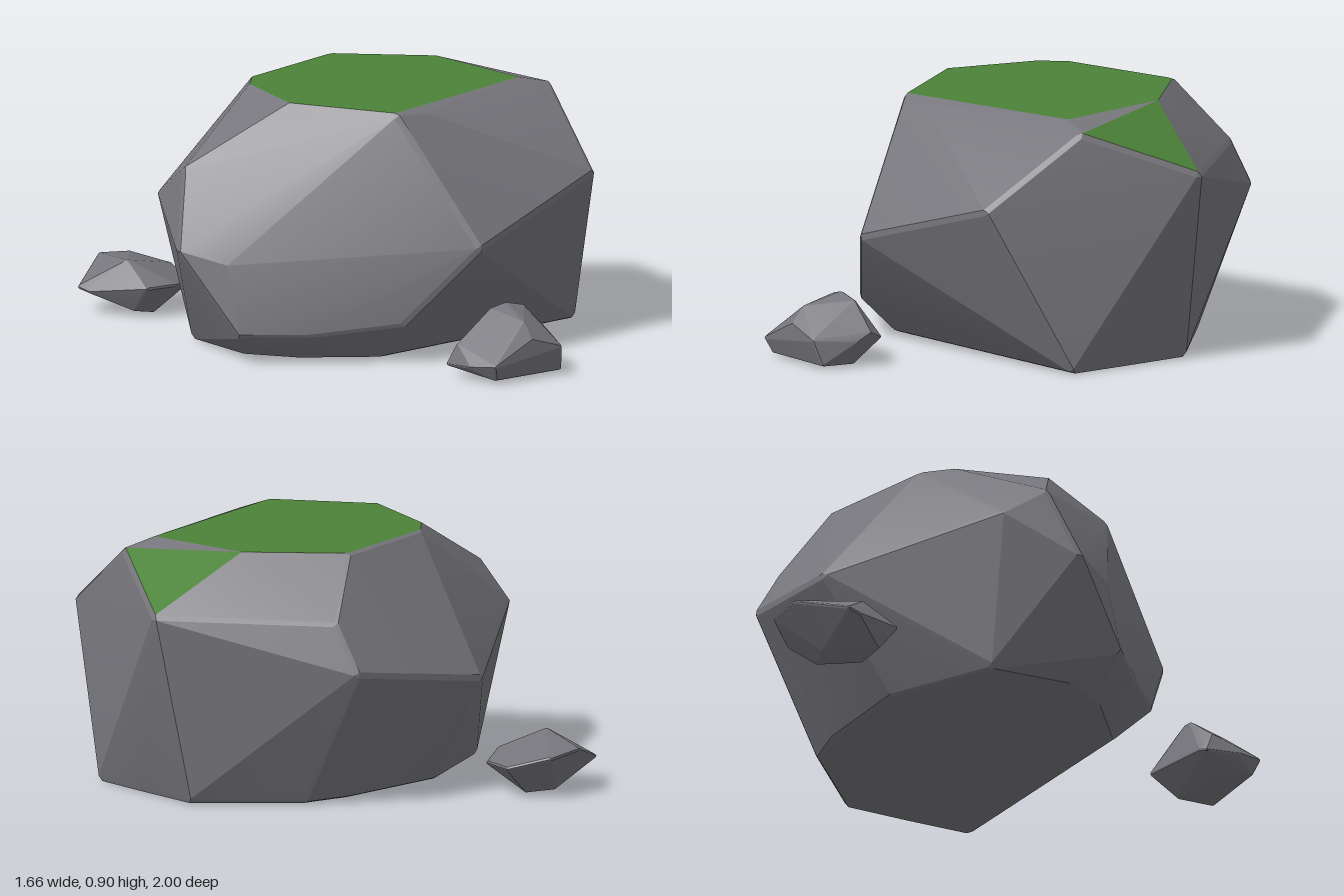
import * as THREE from 'three';
import { ConvexGeometry } from 'three/addons/geometries/ConvexGeometry.js';
import { toCreasedNormals } from 'three/addons/utils/BufferGeometryUtils.js';

const stone = new THREE.MeshStandardMaterial({ color: 0x77767c });
stone.name = 'stone grey';
const moss = new THREE.MeshStandardMaterial({ color: 0x4b8238 });
moss.name = 'moss green';

// Corners of each rock (x, y, z)
const boulderCorners = [
  // flat top rim
  [-0.41, 0.9, 0.06], [-0.18, 0.89, 0.40], [-0.05, 0.88, 0.40], [0.53, 0.89, 0.19],
  [0.48, 0.9, -0.25], [0.20, 0.9, -0.51], [-0.25, 0.9, -0.38], [-0.33, 0.9, -0.29],
  // right shoulder
  [0.65, 0.86, 0.21], [0.83, 0.7, -0.18], [0.57, 0.61, 0.57],
  // front and left
  [-0.03, 0.43, 0.70], [-0.26, 0.15, 0.54], [-0.53, 0.11, 0.34], [-0.74, 0.36, 0.12],
  [-0.73, 0.11, 0.18], [-0.84, 0.4, -0.03], [-0.75, 0.67, -0.12], [-0.74, 0.56, -0.28],
  // back
  [-0.22, 0.43, -0.75], [0.35, 0.52, -0.74], [0.37, 0.69, -0.64],
  // base
  [0.70, 0.015, 0.28], [0.70, 0.015, 0.05], [0.69, 0.015, -0.21], [0.38, 0.015, -0.48],
  [0.20, 0.015, -0.51], [-0.23, 0.015, -0.48], [-0.60, 0.015, -0.26], [-0.61, 0.015, 0.05],
  [-0.49, 0.015, 0.23], [-0.25, 0.015, 0.40],
];
const frontCorners = [
  [-0.24, 0.05, 0.77], [-0.22, 0.12, 0.80], [-0.24, 0.06, 0.90], [-0.20, 0.07, 1.0],
  [-0.18, 0.02, 0.98], [-0.03, 0.15, 1.0], [-0.03, 0.21, 0.95], [0.10, 0.11, 1.0],
  [0.12, 0.02, 0.97], [0.18, 0.13, 0.80], [0.08, 0.23, 0.80], [0.0, 0.25, 0.80],
  [-0.06, 0.235, 0.79], [0.14, 0.10, 0.73], [-0.21, 0.06, 0.76], [0.10, 0.008, 0.82],
  [-0.10, 0.008, 0.84], [0.17, 0.10, 0.85],
];
const backCorners = [
  [-0.66, 0.10, -0.86], [-0.65, 0.09, -0.81], [-0.47, 0.175, -0.99], [-0.33, 0.16, -1.0],
  [-0.22, 0.12, -0.89], [-0.29, 0.10, -0.69], [-0.42, 0.12, -0.6], [-0.54, 0.12, -0.61],
  [-0.53, 0.2, -0.74], [-0.46, 0.008, -0.87], [-0.35, 0.008, -0.84], [-0.44, 0.008, -0.70],
  [-0.54, 0.03, -0.68],
];

// Convex rock whose edges are worn down by a small radius
function rockGeometry(corners, radius) {
  const pts = corners.map((c) => new THREE.Vector3(...c));
  const centre = new THREE.Box3().setFromPoints(pts).getCenter(new THREE.Vector3());
  const ball = new THREE.IcosahedronGeometry(radius, 0).attributes.position;
  const seen = new Map();
  for (const p of pts) {
    const inner = p.clone().addScaledVector(p.clone().sub(centre).normalize(), -radius);
    for (let i = 0; i < ball.count; i++) {
      const q = new THREE.Vector3().fromBufferAttribute(ball, i).add(inner);
      q.y = Math.max(q.y, 0);
      seen.set(q.toArray().map((v) => v.toFixed(5)).join(), q);
    }
  }
  return new ConvexGeometry([...seen.values()]);
}

// Facets facing along one of the moss directions go green
function addMoss(geometry, directions) {
  const pos = geometry.attributes.position;
  const tri = new THREE.Triangle();
  const n = new THREE.Vector3();
  const flags = [];
  for (let i = 0; i < pos.count; i += 3) {
    tri.setFromAttributeAndIndices(pos, i, i + 1, i + 2);
    tri.getNormal(n);
    flags.push(directions.some((d) => n.dot(d) > 0.985) ? 1 : 0);
  }
  const smooth = toCreasedNormals(geometry, 0.22);
  smooth.clearGroups();
  flags.forEach((f, i) => smooth.addGroup(i * 3, 3, f));
  return smooth;
}

export function createModel() {
  const group = new THREE.Group();
  group.name = 'mossyRocks';

  // Large boulder: level top and the sloping right shoulder carry moss
  const mossDirections = [
    new THREE.Vector3(0, 1, 0),
    new THREE.Vector3(0.085, 0.144, -0.0145).normalize(),
  ];
  const boulder = new THREE.Mesh(
    addMoss(rockGeometry(boulderCorners, 0.022), mossDirections), [stone, moss]);
  boulder.name = 'boulder';
  group.add(boulder);

  // Two loose stones beside it
  for (const [name, corners] of [['frontStone', frontCorners], ['backStone', backCorners]]) {
    const mesh = new THREE.Mesh(toCreasedNormals(rockGeometry(corners, 0.008), 0.22), stone);
    mesh.name = name;
    group.add(mesh);
  }
  return group;
}
